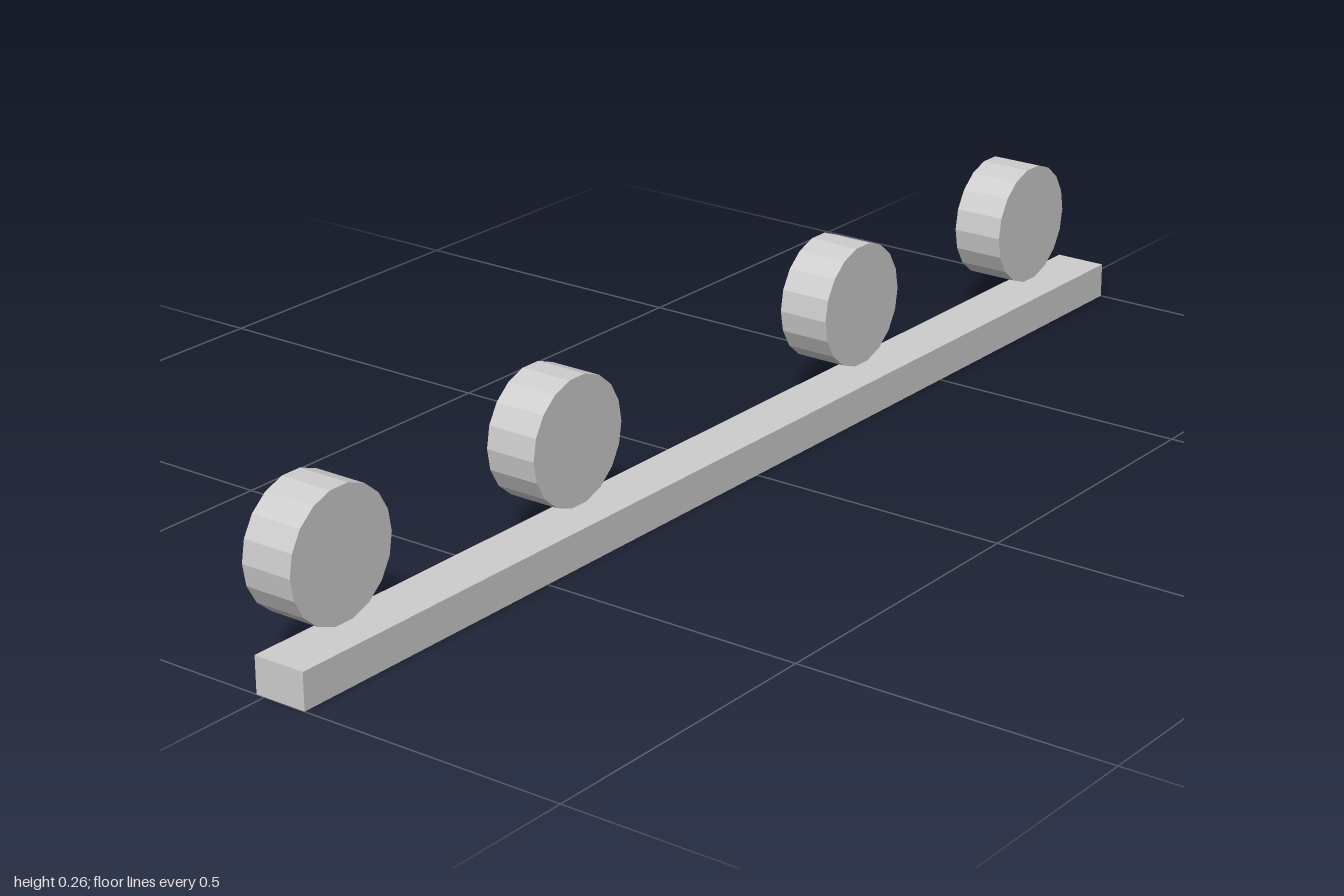
import * as THREE from 'three';

export function createModel() {
  const model = new THREE.Group();
  const grey = new THREE.MeshStandardMaterial({ color: 0xcccccc, flatShading: true });
  grey.name = 'light grey';

  const depth = 0.0857, barHeight = 0.0571, radius = 0.1, offset = 0.0286;

  // Long bar along the front
  const bar = new THREE.Mesh(new THREE.BoxGeometry(2, barHeight, depth), grey);
  bar.name = 'bar';
  bar.position.set(0, barHeight / 2, offset);
  model.add(bar);

  // Four 18-sided discs, each resting with a flat side at bar-top height
  const discGeometry = new THREE.CylinderGeometry(radius, radius, depth, 18);
  discGeometry.rotateY(Math.PI / 18);
  discGeometry.rotateX(Math.PI / 2);
  const places = { outer: 0.857, inner: 0.357 };
  for (const [place, x] of Object.entries(places)) {
    for (const side of [-1, 1]) {
      const disc = new THREE.Mesh(discGeometry, grey);
      disc.name = place + (side > 0 ? 'LeftDisc' : 'RightDisc');
      disc.position.set(side * x, barHeight + radius, -offset);
      model.add(disc);
    }
  }
  return model;
}
